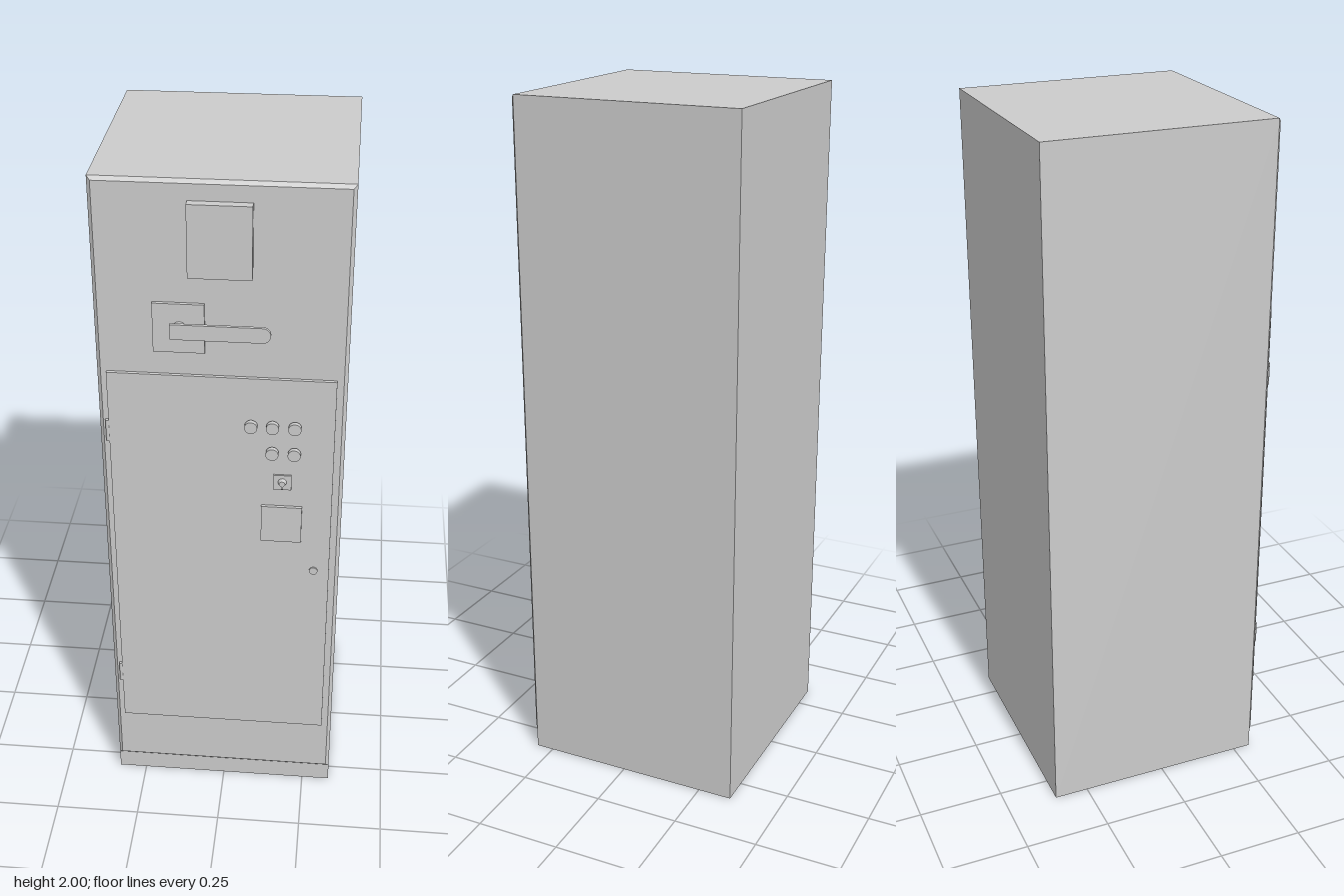
import * as THREE from 'three';

const mat = new THREE.MeshStandardMaterial({ color: 0xcccccc, side: THREE.DoubleSide });
const W = 0.333, BACK = -0.351, EDGE = 0.303, PANEL = 0.312, DOOR = 0.322, PLINTH = 0.06;

export function createModel() {
  const group = new THREE.Group();

  const add = (name, geometry, x, y, z) => {
    const mesh = new THREE.Mesh(geometry, mat);
    mesh.name = name;
    mesh.position.set(x, y, z);
    group.add(mesh);
    return mesh;
  };
  // Box given by its limits
  const box = (name, x0, x1, y0, y1, z0, z1) =>
    add(name, new THREE.BoxGeometry(x1 - x0, y1 - y0, z1 - z0), (x0 + x1) / 2, (y0 + y1) / 2, (z0 + z1) / 2);
  // Round part standing out from the front, from radius r0 at z0 to r1 at z1
  const round = (name, x, y, r0, r1, z0, z1) => {
    const g = new THREE.CylinderGeometry(r1, r0, z1 - z0, 24).rotateX(Math.PI / 2);
    return add(name, g, x, y, (z0 + z1) / 2);
  };

  // Sheet cabinet, open underneath
  const depth = EDGE - BACK, midZ = (EDGE + BACK) / 2;
  add('backWall', new THREE.PlaneGeometry(2 * W, 2).rotateY(Math.PI), 0, 1, BACK);
  add('topSheet', new THREE.PlaneGeometry(2 * W, depth).rotateX(-Math.PI / 2), 0, 2, midZ);
  for (const [name, s] of [['leftWall', 1], ['rightWall', -1]]) {
    add(name, new THREE.PlaneGeometry(depth, 2).rotateY(s * Math.PI / 2), s * W, 1, midZ);
  }
  add('plinth', new THREE.PlaneGeometry(2 * W, PLINTH), 0, PLINTH / 2, EDGE);

  // Front panel with a chamfer round all four edges
  const ring = (inset, z) => [
    [-W + inset, PLINTH + inset, z], [W - inset, PLINTH + inset, z],
    [W - inset, 2 - inset, z], [-W + inset, 2 - inset, z],
  ];
  const outer = ring(0, EDGE), inner = ring(0.01, PANEL), pos = [];
  const quad = (a, b, c, d) => pos.push(...a, ...b, ...c, ...a, ...c, ...d);
  for (let i = 0; i < 4; i++) {
    const j = (i + 1) % 4;
    quad(outer[i], outer[j], inner[j], inner[i]);
  }
  quad(...inner);
  const panel = new THREE.BufferGeometry();
  panel.setAttribute('position', new THREE.Float32BufferAttribute(pos, 3));
  panel.computeVertexNormals();
  add('frontPanel', panel, 0, 0, 0);

  // Door and its hinges
  box('door', -0.307, 0.305, 0.244, 1.459, PANEL - 0.001, DOOR);
  for (const y of [0.413, 1.277]) {
    add('hinge', new THREE.CylinderGeometry(0.006, 0.006, 0.065, 16), -0.311, y, 0.316);
  }

  // Meter box
  box('meterBox', -0.084, 0.081, 1.748, 1.946, PANEL, 0.337);

  // Switch: base plate, tapered hub and lever with rounded tip
  box('switchPlate', -0.179, -0.043, 1.528, 1.668, PANEL, DOOR);
  round('switchHub', -0.108, 1.6, 0.018, 0.013, DOOR, 0.341);
  const lever = new THREE.Shape();
  const h = 0.0215;
  lever.moveTo(-0.131, -h);
  lever.lineTo(0.131 - h, -h);
  lever.absarc(0.131 - h, 0, h, -Math.PI / 2, Math.PI / 2, false);
  lever.lineTo(-0.131, h);
  lever.closePath();
  add('switchLever', new THREE.ExtrudeGeometry(lever, { depth: 0.009, bevelEnabled: false }), 0, 1.601, 0.341);

  // Push buttons, each on a collar
  for (const [x, y] of [[0.08, 1.318], [0.138, 1.318], [0.198, 1.318], [0.138, 1.236], [0.198, 1.236]]) {
    round('buttonCollar', x, y, 0.013, 0.013, DOOR, 0.328);
    round('button', x, y, 0.0175, 0.0175, 0.327, 0.341);
  }

  // Lock: square plate, tapered knob and key tab
  box('lockPlate', 0.142, 0.192, 1.116, 1.163, DOOR, 0.327);
  round('lockKnob', 0.167, 1.141, 0.012, 0.008, 0.327, 0.338);
  box('lockKey', 0.164, 0.17, 1.124, 1.141, 0.327, 0.336);

  // Label plate and door latch
  box('labelPlate', 0.11, 0.223, 0.943, 1.06, DOOR, 0.331);
  round('doorLatch', 0.261, 0.841, 0.012, 0.012, DOOR, 0.326);

  return group;
}
